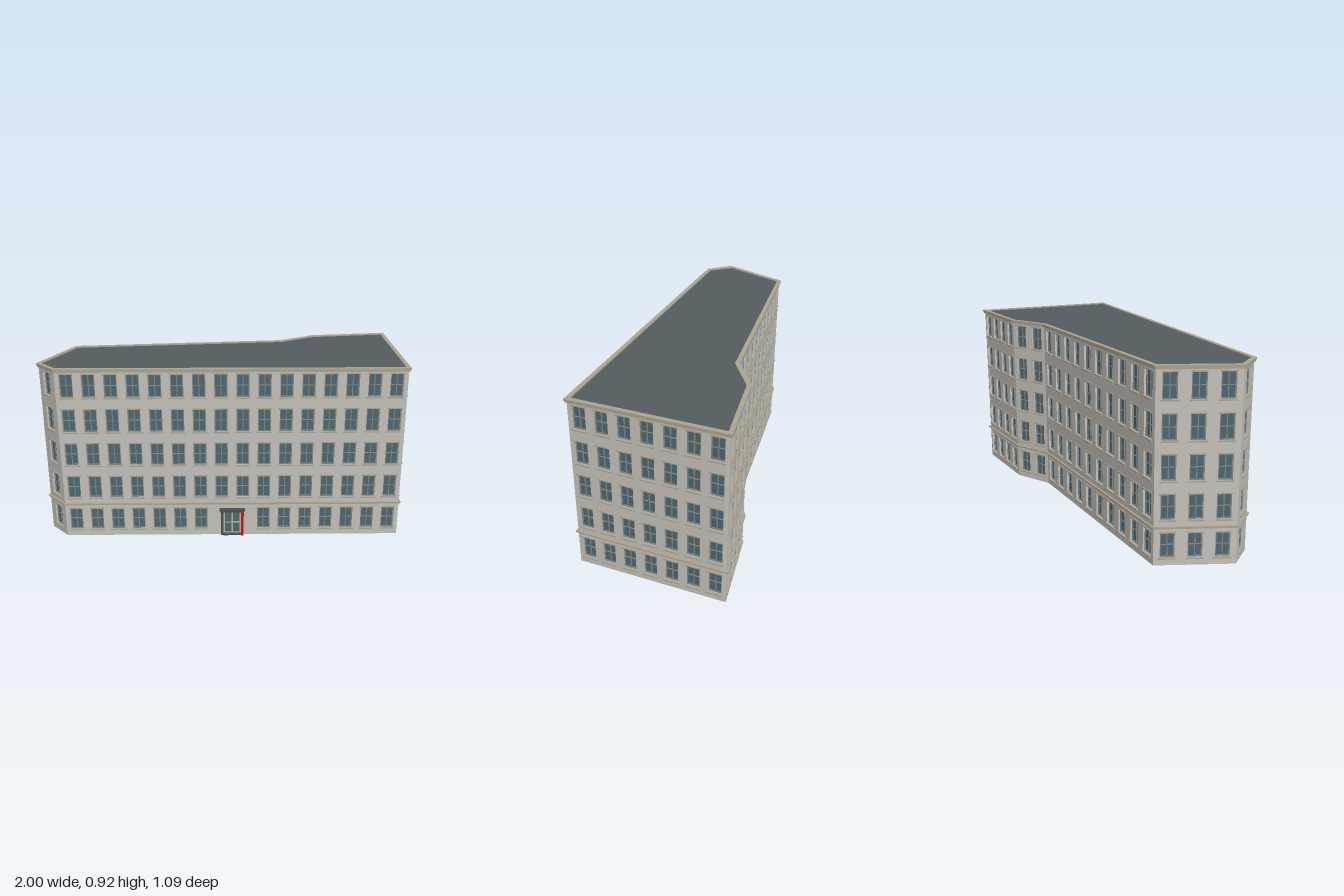
import * as THREE from 'three';
import { mergeGeometries } from 'three/addons/utils/BufferGeometryUtils.js';

// Footprint of the cornice as [x, z], starting at the left end of the front
const OUTLINE = [[-0.945, -0.112], [0.71, 0.54], [1.0, -0.185], [0.58, -0.287], [0.36, -0.245], [-0.742, -0.547], [-1.0, -0.26]];
const BAYS = [16, 7, 4, 2, 10, 3, 1];
const FLOORS = 5, FLOOR_H = 0.1835, SILL_Y = 0.036;
const WIN_W = 0.066, WIN_H = 0.122, WALL_T = 0.018, WALL_TOP = 0.912;
const DOOR_W = 0.094, DOOR_H = 0.135;

const mat = (color, side = THREE.FrontSide) => new THREE.MeshStandardMaterial({ color, side });
const MATS = {
  wall: mat(0xc6c2ba, THREE.DoubleSide),
  glass: mat(0x50676f, THREE.DoubleSide),
  frame: mat(0x7d8a8d),
  trim: mat(0xada592),
  roof: mat(0x555c60, THREE.DoubleSide),
  dark: mat(0x4c4f50),
  red: mat(0xc01522),
  door: mat(0xbfb496),
};

function mesh(name, geometry, material) {
  const m = new THREE.Mesh(geometry, material);
  m.name = name;
  return m;
}

const box = (w, h, d, x, y, z) => new THREE.BoxGeometry(w, h, d).translate(x, y, z);

// Mitred offset of a footprint, positive outwards
function offset(points, dist) {
  const n = points.length;
  const normal = (i) => {
    const [a, b] = [points[i % n], points[(i + 1) % n]];
    const l = Math.hypot(b[0] - a[0], b[1] - a[1]);
    return [-(b[1] - a[1]) / l, (b[0] - a[0]) / l];
  };
  return points.map((p, i) => {
    const a = normal(i + n - 1), b = normal(i);
    const k = dist / (1 + a[0] * b[0] + a[1] * b[1]);
    return [p[0] + (a[0] + b[0]) * k, p[1] + (a[1] + b[1]) * k];
  });
}

const planPoints = (points) => points.map(([x, z]) => new THREE.Vector2(x, -z));

// Horizontal slab of a footprint, optionally hollow
function slab(outer, inner, y0, y1) {
  const shape = new THREE.Shape(planPoints(outer));
  if (inner) shape.holes.push(new THREE.Path(planPoints(inner)));
  return new THREE.ExtrudeGeometry(shape, { depth: y1 - y0, bevelEnabled: false })
    .rotateX(-Math.PI / 2).translate(0, y0, 0);
}

function rectPath(Type, x0, y0, x1, y1) {
  return new Type([[x0, y0], [x1, y0], [x1, y1], [x0, y1]].map(([x, y]) => new THREE.Vector2(x, y)));
}

// Casement frame with one mullion and one transom
function casement(u, y, w, h, z, bar = 0.005) {
  const d = 0.005, cy = y + h / 2;
  return [
    box(bar, h, d, u - w / 2 + bar / 2, cy, z),
    box(bar, h, d, u + w / 2 - bar / 2, cy, z),
    box(bar, h, d, u, cy, z),
    box(w, bar, d, u, y + bar / 2, z),
    box(w, bar, d, u, y + h - bar / 2, z),
    box(w, bar * 0.6, d, u, cy, z),
  ];
}

// Entrance with canopy, jambs and step
function makeEntrance(u) {
  const g = new THREE.Group();
  g.name = 'entrance';
  const half = DOOR_W / 2;
  g.add(
    mesh('doorGlass', new THREE.PlaneGeometry(DOOR_W, DOOR_H).translate(u, DOOR_H / 2, -0.014), MATS.glass),
    mesh('doorLeaves', mergeGeometries(casement(u, 0, DOOR_W, DOOR_H, -0.011, 0.009)), MATS.door),
    mesh('leftJamb', box(0.014, 0.145, 0.012, u - half - 0.007, 0.0725, 0.004), MATS.dark),
    mesh('rightJamb', box(0.014, 0.145, 0.016, u + half + 0.007, 0.0725, 0.006), MATS.red),
    mesh('doorHead', box(DOOR_W, 0.012, 0.012, u, 0.139, 0.004), MATS.dark),
    mesh('canopy', box(DOOR_W + 0.04, 0.009, 0.022, u, 0.15, 0.009), MATS.dark),
    mesh('doorStep', box(DOOR_W, 0.006, 0.018, u, 0.003, 0.004), MATS.dark),
  );
  return g;
}

// One facade, built in local axes: x along the wall, z outwards
function makeFacade(a, b, bays, hasDoor) {
  const g = new THREE.Group();
  g.name = 'facade';
  const len = Math.hypot(b[0] - a[0], b[1] - a[1]);
  const shape = rectPath(THREE.Shape, 0, 0, len, WALL_TOP);
  const panes = [], frames = [], trims = [];
  for (let f = 0; f < FLOORS; f++) {
    for (let i = 0; i < bays; i++) {
      if (hasDoor && f === 0 && (i === bays / 2 - 1 || i === bays / 2)) continue;
      const u = (i + 0.5) * len / bays, y = SILL_Y + f * FLOOR_H;
      shape.holes.push(rectPath(THREE.Path, u - WIN_W / 2, y, u + WIN_W / 2, y + WIN_H));
      panes.push(new THREE.PlaneGeometry(WIN_W, WIN_H).translate(u, y + WIN_H / 2, -0.015));
      frames.push(...casement(u, y, WIN_W, WIN_H, -0.0125));
      trims.push(
        box(WIN_W + 0.012, 0.006, 0.014, u, y - 0.002, 0),
        box(WIN_W + 0.008, 0.006, 0.01, u, y + WIN_H + 0.002, 0),
      );
    }
  }
  if (hasDoor) {
    shape.holes.push(rectPath(THREE.Path, len / 2 - DOOR_W / 2, 0.001, len / 2 + DOOR_W / 2, DOOR_H));
    g.add(makeEntrance(len / 2));
  }
  const wall = new THREE.ExtrudeGeometry(shape, { depth: WALL_T, bevelEnabled: false }).translate(0, 0, -WALL_T);
  g.add(
    mesh('wall', wall, MATS.wall),
    mesh('windowPanes', mergeGeometries(panes), MATS.glass),
    mesh('windowFrames', mergeGeometries(frames), MATS.frame),
    mesh('sillsAndLintels', mergeGeometries(trims), MATS.trim),
  );
  g.position.set(a[0], 0, a[1]);
  g.rotation.y = -Math.atan2(b[1] - a[1], b[0] - a[0]);
  return g;
}

export function createModel() {
  const model = new THREE.Group();
  model.name = 'cornerBuilding';
  const walls = offset(OUTLINE, -0.01);
  walls.forEach((p, i) => {
    model.add(makeFacade(p, walls[(i + 1) % walls.length], BAYS[i], i === 0));
  });

  // Bands running round the building
  const ring = (out, y0, y1, inset) => slab(offset(walls, out), offset(walls, -inset), y0, y1);
  model.add(
    mesh('stringCourse', mergeGeometries([ring(0.006, 0.179, 0.184, 0.004), ring(0.01, 0.184, 0.19, 0.004)]), MATS.trim),
    mesh('cornice', mergeGeometries([ring(0.006, 0.903, 0.912, 0.004), ring(0.01, 0.912, 0.922, 0.012)]), MATS.trim),
    mesh('roof', slab(offset(walls, -0.005), null, 0.908, 0.916), MATS.roof),
  );
  return model;
}
